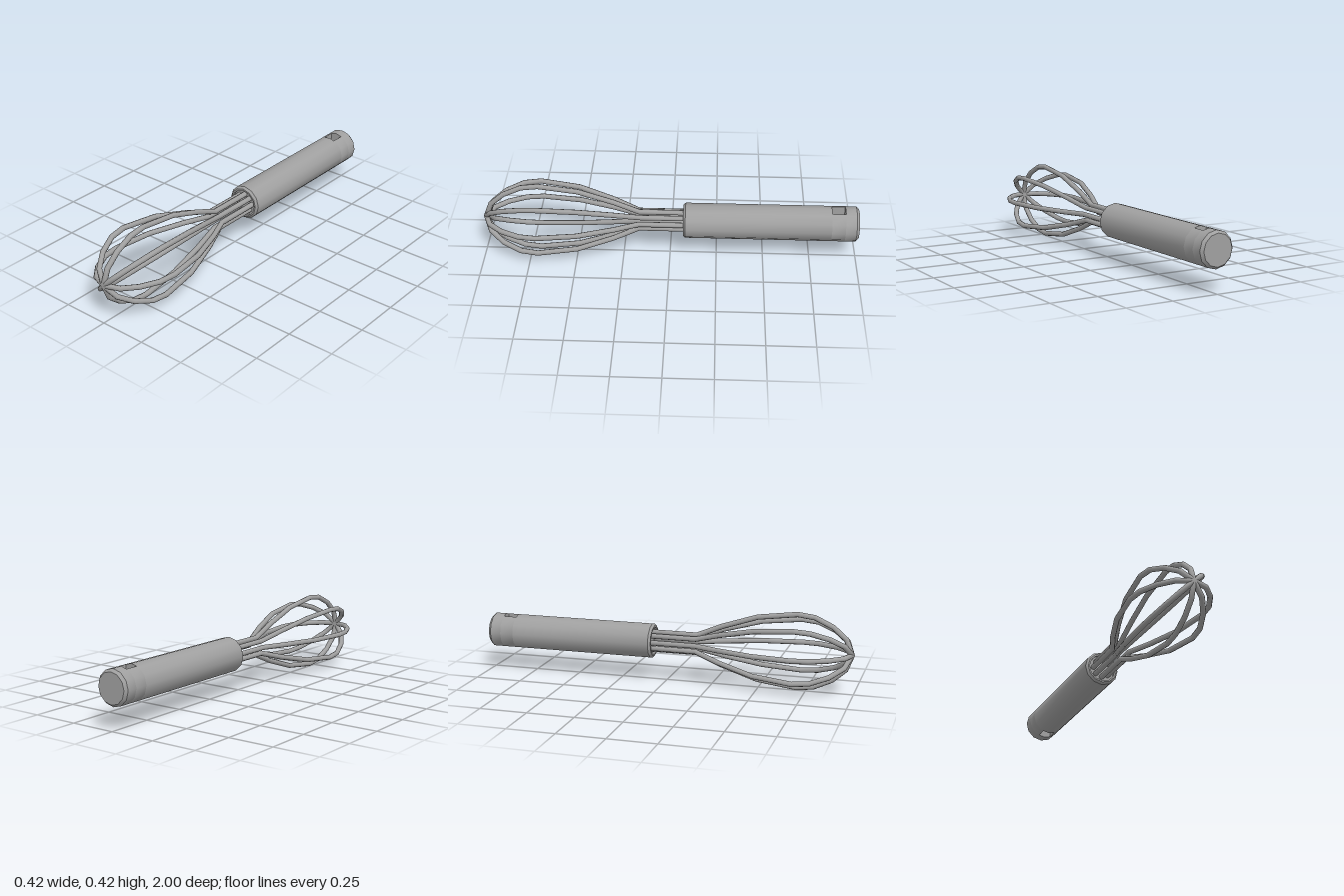
import * as THREE from 'three';
import { toCreasedNormals } from 'three/addons/utils/BufferGeometryUtils.js';

const SIDES = 12;
const R = 0.094; // handle radius
const HOLE = { half: 0.034, back: -0.927, front: -0.855 };

// Solid turned around the z axis from [radius, z] points
function turned(profile) {
  const g = new THREE.LatheGeometry(profile.map(([r, z]) => new THREE.Vector2(r, z)), SIDES);
  g.rotateX(Math.PI / 2);
  return toCreasedNormals(g, 0.6);
}

// Side wall of the handle beside the hanging hole
function holeCheek() {
  const cutY = R - HOLE.half * Math.tan(Math.PI / 12);
  const pts = [new THREE.Vector2(HOLE.half, -cutY)];
  for (let a = -60; a <= 60; a += 30) {
    const t = THREE.MathUtils.degToRad(a);
    pts.push(new THREE.Vector2(R * Math.cos(t), R * Math.sin(t)));
  }
  pts.push(new THREE.Vector2(HOLE.half, cutY));
  const g = new THREE.ExtrudeGeometry(new THREE.Shape(pts), {
    depth: HOLE.front - HOLE.back, bevelEnabled: false,
  });
  g.translate(0, 0, HOLE.back);
  return toCreasedNormals(g, 0.6);
}

// Round wire with mitred bends along [x, z] points in the y = 0 plane
function bentWire(path, radius, sides = 8) {
  const pos = [], index = [];
  const pts = path.map(([x, z]) => new THREE.Vector2(x, z));
  pts.forEach((p, i) => {
    const before = p.clone().sub(pts[Math.max(i - 1, 0)]).normalize();
    const after = pts[Math.min(i + 1, pts.length - 1)].clone().sub(p).normalize();
    const t = before.clone().add(after).normalize();
    const mitre = 1 / Math.max(t.dot(i ? before : after), 0.5);
    for (let j = 0; j < sides; j++) {
      const a = (j / sides) * Math.PI * 2;
      const n = radius * Math.cos(a) * mitre;
      pos.push(p.x + t.y * n, radius * Math.sin(a), p.y - t.x * n);
      if (i < pts.length - 1) {
        const k = (j + 1) % sides, r0 = i * sides, r1 = r0 + sides;
        index.push(r0 + j, r0 + k, r1 + k, r0 + j, r1 + k, r1 + j);
      }
    }
  });
  const g = new THREE.BufferGeometry();
  g.setAttribute('position', new THREE.Float32BufferAttribute(pos, 3));
  g.setIndex(index);
  g.computeVertexNormals();
  return g;
}

export function createModel() {
  const model = new THREE.Group();
  model.name = 'whisk';
  const steel = new THREE.MeshStandardMaterial({ color: 0xa0a0a0 });
  steel.name = 'steel grey';

  const body = new THREE.Group();
  body.name = 'whiskBody';
  body.position.y = 0.21;
  model.add(body);

  const add = (geometry, name, parent) => {
    const mesh = new THREE.Mesh(geometry, steel);
    mesh.name = name;
    parent.add(mesh);
    return mesh;
  };

  // Handle: grip with a recessed front, end cap, and two cheeks around the hole
  const handle = new THREE.Group();
  handle.name = 'handle';
  body.add(handle);
  add(turned([
    [0, HOLE.front], [R, HOLE.front], [R, -0.082], [0.083, -0.07],
    [0.074, -0.07], [0.074, -0.085], [0, -0.085],
  ]), 'grip', handle);
  add(turned([
    [0, -1], [0.081, -1], [R, -0.985], [R, HOLE.back], [0, HOLE.back],
  ]), 'endCap', handle);
  const cheek = holeCheek();
  add(cheek, 'leftHoleCheek', handle);
  add(cheek, 'rightHoleCheek', handle).rotation.z = Math.PI;

  // Four crossing wire loops
  const half = [
    [0.048, -0.1], [0.048, 0.165], [0.105, 0.3], [0.168, 0.49], [0.196, 0.7],
    [0.185, 0.79], [0.141, 0.885], [0.08, 0.955],
  ];
  const loop = [...half, [0, 0.986], ...half.map(([x, z]) => [-x, z]).reverse()];
  const wire = bentWire(loop, 0.014);
  const wires = new THREE.Group();
  wires.name = 'wires';
  body.add(wires);
  for (let i = 0; i < 4; i++) {
    add(wire, `wireLoop${i + 1}`, wires).rotation.z = (i * Math.PI) / 4;
  }
  return model;
}
